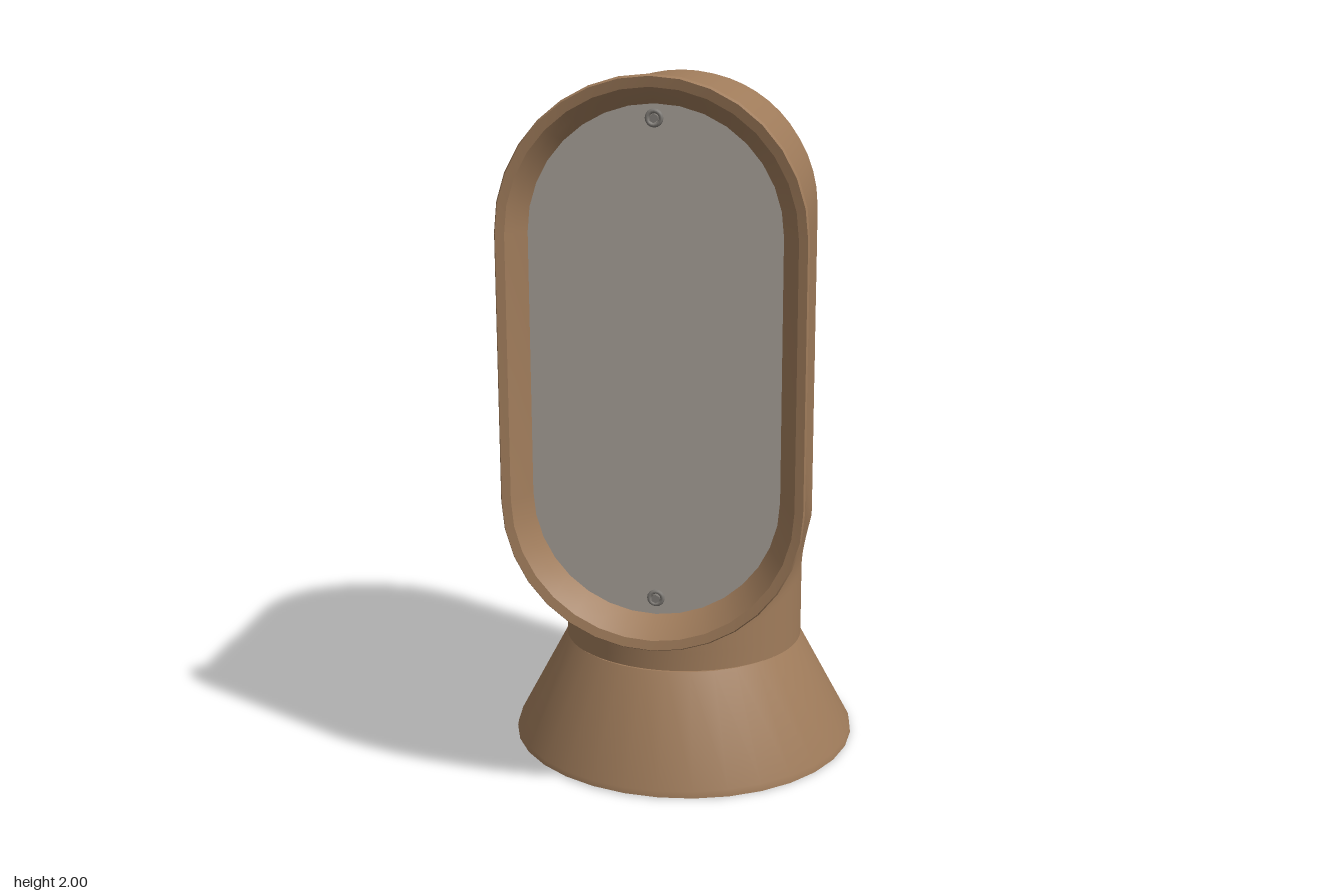
import * as THREE from 'three';
import { toCreasedNormals } from 'three/addons/utils/BufferGeometryUtils.js';

const paint = new THREE.MeshStandardMaterial({ name: 'brownPaint', color: 0xa07c5b });
const steel = new THREE.MeshStandardMaterial({ name: 'greyPanel', color: 0xa8a199 });
const boltMetal = new THREE.MeshStandardMaterial({ name: 'boltGrey', color: 0x807c77 });
paint.side = THREE.DoubleSide;

// Skin closed rings of equal point count.
function loft(rings) {
  const n = rings[0].length, index = [];
  for (let i = 0; i < rings.length - 1; i++) {
    for (let j = 0; j < n; j++) {
      const a = i * n + j, b = i * n + (j + 1) % n;
      index.push(a, b, b + n, a, b + n, a + n);
    }
  }
  const g = new THREE.BufferGeometry().setFromPoints(rings.flat());
  g.setIndex(index);
  g.computeVertexNormals();
  return g;
}

// Upright rounded slot outline, counter-clockwise from the front.
function slotPoints(w, bottom, top, z, half = 16) {
  const pts = [];
  for (let k = 0; k <= half; k++) {
    const a = -Math.PI + Math.PI * k / half;
    pts.push(new THREE.Vector3(w * Math.cos(a), bottom + w + w * Math.sin(a), z));
  }
  for (let k = 0; k <= half; k++) {
    const a = Math.PI * k / half;
    pts.push(new THREE.Vector3(w * Math.cos(a), top - w + w * Math.sin(a), z));
  }
  return pts;
}

// Squared half-width of the hood: round neck blended into a slot-shaped tube,
// trimmed by a round back and domed top.
function widthSq(y, z) {
  const R = 0.38, blend = 0.124;
  const neck = 0.35 ** 2 * (1 - ((z + 0.05) / 0.336) ** 2);
  const tube = R * R - Math.max(0, 0.9 - y) ** 2;
  const h = Math.max(0, blend - Math.abs(neck - tube)) / blend;
  const body = Math.max(neck, tube) + h * h * blend / 4;
  const dz = Math.max(0, -0.01 - z), dy = Math.max(0, y - 1.59);
  return Math.min(body, R * R - dz * dz - dy * dy);
}

// Cross-section of the hood along a ray from a pivot under the mouth.
function elbowRing(z0, y0, phi, half = 40) {
  const c = Math.cos(phi), s = Math.sin(phi);
  const width = d => widthSq(y0 + s * d, z0 + c * d);
  const edge = (outside, inside) => {
    for (let i = 0; i < 40; i++) {
      const m = (outside + inside) / 2;
      if (width(m) > 0) inside = m; else outside = m;
    }
    return inside;
  };
  const near = edge(0, 0.4), far = edge(3, 0.4);
  const side = [];
  for (let k = 0; k <= half; k++) {
    const d = near + (far - near) * (1 - Math.cos(Math.PI * k / half)) / 2;
    const x = k % half === 0 ? 0 : Math.sqrt(Math.max(0, width(d)));
    side.push(new THREE.Vector3(x, y0 + s * d, z0 + c * d));
  }
  const mirror = side.slice(1, half).reverse().map(p => new THREE.Vector3(-p.x, p.y, p.z));
  return [...side, ...mirror];
}

export function createModel() {
  const model = new THREE.Group();
  model.name = 'ventilationCowl';
  const add = (name, geo, mat, parent = model) => {
    const mesh = new THREE.Mesh(geo, mat);
    mesh.name = name;
    parent.add(mesh);
    return mesh;
  };

  // Hood: neck ring fans around the throat to the tall front mouth
  const rings = [elbowRing(0.435, 0.312, Math.PI)];
  const steps = 40;
  for (let i = 0; i <= steps; i++) rings.push(elbowRing(0.435, 0.37, Math.PI * (1 - i / steps / 2)));
  rings.push(elbowRing(0.49, 0.37, Math.PI / 2));
  add('hood', loft(rings), paint);

  // Flared lip around the mouth, turning back in to the recessed panel
  const lip = [
    [0.379, 0.521, 1.969, 0.48], [0.386, 0.505, 1.975, 0.515], [0.402, 0.48, 2.0, 0.548],
    [0.398, 0.485, 1.995, 0.557], [0.375, 0.51, 1.968, 0.552], [0.352, 0.535, 1.945, 0.52],
    [0.328, 0.562, 1.918, 0.472],
  ];
  add('mouthLip', toCreasedNormals(loft(lip.map(p => slotPoints(...p))), 0.7), paint);

  // Closing panel
  const outline = slotPoints(0.332, 0.558, 1.922, 0).map(p => new THREE.Vector2(p.x, p.y));
  add('panel', new THREE.ShapeGeometry(new THREE.Shape(outline)), steel).position.z = 0.478;

  // Bolts with washers
  for (const y of [1.885, 0.605]) {
    const bolt = new THREE.Group();
    bolt.name = 'bolt';
    bolt.position.set(0, y, 0.479);
    add('washer', new THREE.TorusGeometry(0.018, 0.006, 6, 16), boltMetal, bolt);
    add('boltHead', new THREE.CylinderGeometry(0.012, 0.012, 0.02, 6).rotateX(Math.PI / 2), boltMetal, bolt);
    model.add(bolt);
  }

  // Conical base with a recessed, uneven underside
  const profile = [
    [0, 0.08], [0.1, 0.08], [0.2, 0.08], [0.3, 0.08], [0.39, 0.075], [0.45, 0.07], [0.487, 0.006],
    [0.506, 0.006], [0.503, 0.02], [0.347, 0.313], [0, 0.313],
  ].map(p => new THREE.Vector2(...p));
  const base = new THREE.LatheGeometry(profile, 32);
  const pos = base.attributes.position;
  for (let i = 0; i < pos.count; i++) {
    const x = pos.getX(i), y = pos.getY(i), z = pos.getZ(i);
    if (y > 0.05 && y < 0.1) pos.setY(i, y + 0.02 * Math.sin(13 * x) * Math.cos(11 * z));
    if (y < 0.01) pos.setY(i, y - 0.006 * (0.5 + 0.5 * Math.sin(2 * Math.atan2(z, x))));
  }
  add('base', toCreasedNormals(base, 0.6), paint).position.z = -0.053;

  return model;
}
